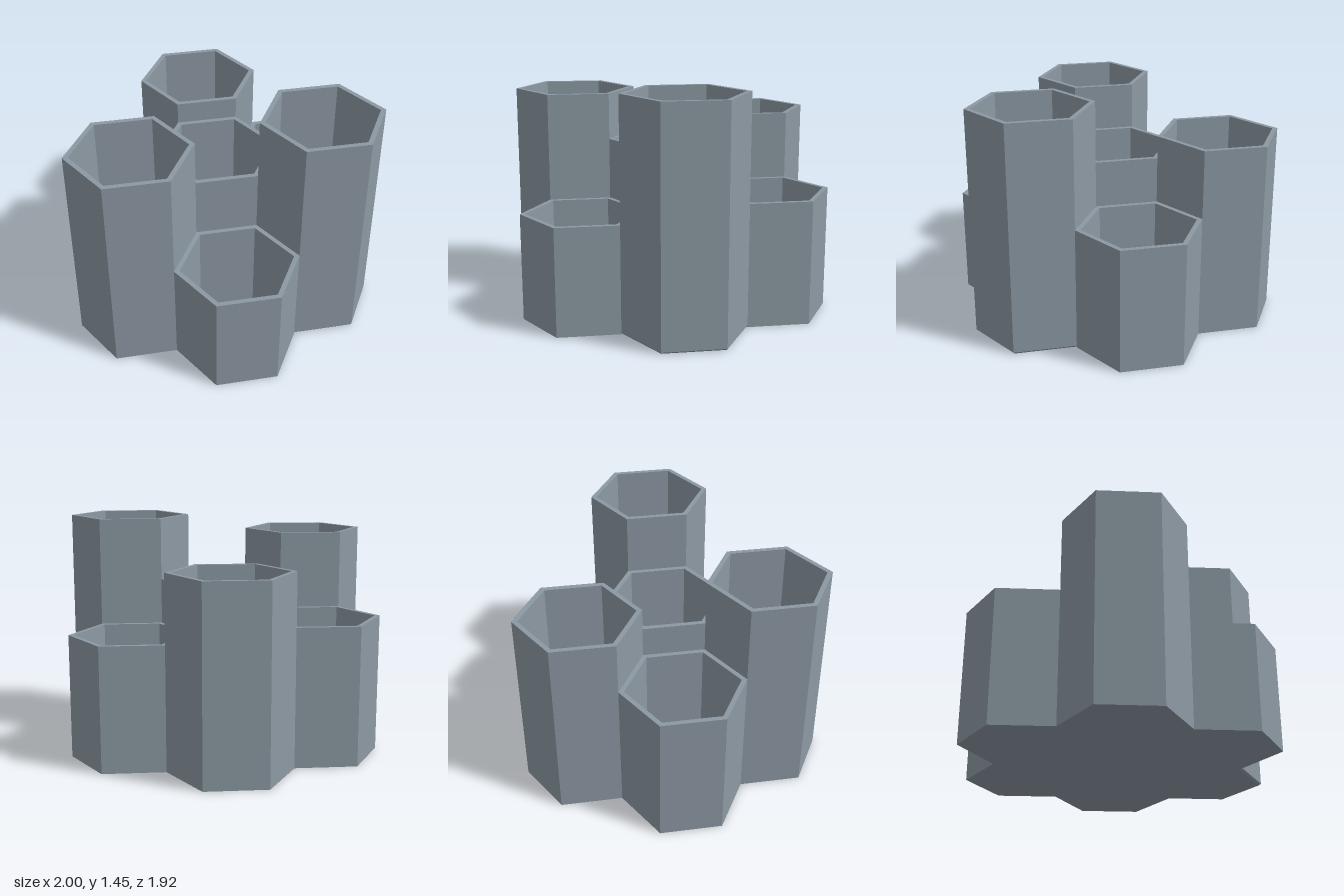
import * as THREE from 'three';

const APOTHEM = 1 / 3;                       // half the flat-to-flat width of a cell
const OUTER = APOTHEM / Math.cos(Math.PI / 6);
const INNER = 0.304 / Math.cos(Math.PI / 6);
const FLOOR = 0.03;
const BEVEL = 0.012;

// Hollow hexagonal cup, open at the top, with faceted normals
function cupGeometry(x, z, height, bevelled) {
  const profile = [
    [0, 0], [OUTER, 0], [OUTER, BEVEL], [OUTER, height],
    [INNER, height], [INNER, FLOOR], [0, FLOOR],
  ];
  if (!bevelled) profile.splice(2, 1);
  const lathe = new THREE.LatheGeometry(profile.map(([r, y]) => new THREE.Vector2(r, y)), 6);
  lathe.translate(x, 0, z);

  // Pull the bottom edge in toward the middle of the cluster
  if (bevelled) {
    const pos = lathe.attributes.position;
    for (let i = 0; i < pos.count; i++) {
      if (pos.getY(i) < 1e-6) pos.setXYZ(i, pos.getX(i) * 0.985, 0, pos.getZ(i) * 0.985);
    }
  }
  const geometry = lathe.toNonIndexed();
  geometry.computeVertexNormals();
  return geometry;
}

export function createModel() {
  const group = new THREE.Group();
  group.name = 'hexagonalOrganizer';

  const slate = new THREE.MeshStandardMaterial({ color: 0x8c99a3 });
  slate.name = 'slateGrey';

  // Cell name, column and row in the honeycomb, height
  const rowStep = OUTER * 1.5;
  const cups = [
    ['centreCup', 0, 0, 1.06],
    ['leftCup', 2, 0, 1.445],
    ['rightCup', -2, 0, 0.865],
    ['frontLeftCup', 1, 1, 0.675],
    ['frontRightCup', -1, 1, 1.35],
    ['backLeftCup', 1, -1, 0.775],
    ['backRightCup', -1, -1, 1.2],
  ];
  for (const [name, column, row, height] of cups) {
    const geometry = cupGeometry(column * APOTHEM, row * rowStep, height, name === 'leftCup');
    const cup = new THREE.Mesh(geometry, slate);
    cup.name = name;
    group.add(cup);
  }
  return group;
}
